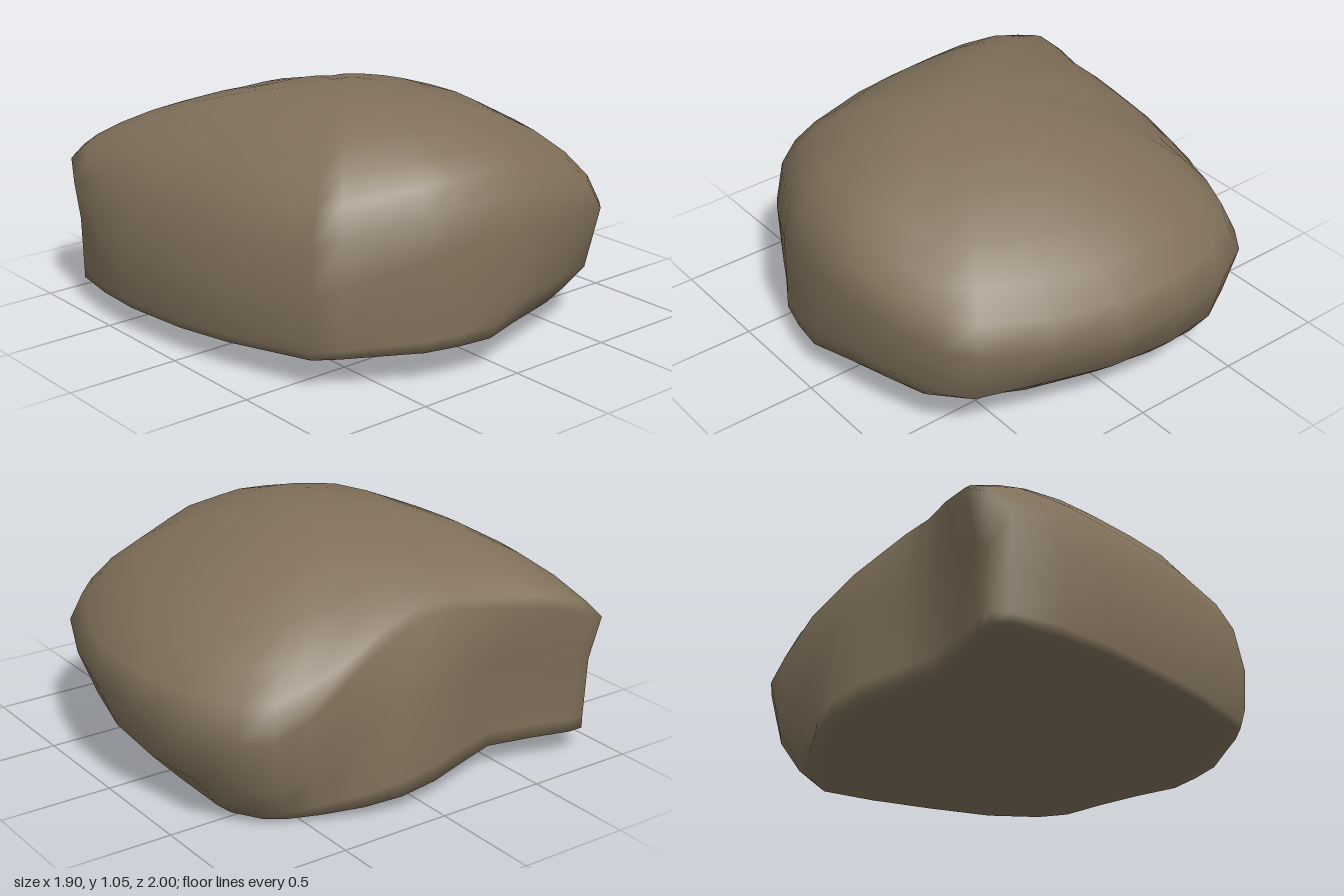
import * as THREE from 'three';
import { mergeVertices } from 'three/addons/utils/BufferGeometryUtils.js';

// Columns around the boulder: foot x, z, then widest point x, y, z
const COLUMNS = [
  [-.22, -.7, -.22, .46, -1], [.08, -.66, .1, .46, -.99], [.38, -.6, .4, .47, -.91],
  [.62, -.52, .69, .5, -.79], [.73, -.44, .8, .52, -.68], [.8, -.28, .89, .56, -.45],
  [.86, -.1, .945, .6, -.23], [.92, .08, .95, .6, -.02], [.9, .23, .91, .58, .2],
  [.86, .38, .87, .55, .35], [.76, .54, .78, .5, .53], [.68, .67, .7, .45, .68],
  [.61, .76, .64, .42, .78], [.22, .88, .23, .4, .91], [-.05, .93, -.05, .4, .96],
  [-.37, .965, -.37, .42, .995], [-.6, .955, -.6, .47, .985], [-.82, .92, -.83, .57, .945],
  [-.87, .87, -.92, .65, .9], [-.87, .8, -.955, .69, .81], [-.82, .62, -.89, .74, .62],
  [-.77, .42, -.83, .76, .43], [-.81, .25, -.79, .79, .24], [-.86, .06, -.77, .79, .08],
  [-.87, -.12, -.79, .74, -.12], [-.83, -.28, -.82, .63, -.36], [-.75, -.44, -.82, .5, -.56],
  [-.67, -.56, -.79, .44, -.7], [-.6, -.63, -.71, .43, -.81], [-.48, -.7, -.5, .44, -.93],
];
const APEX = { x: .1, y: 1.06, z: .15 };
const { lerp: mix, smoothstep } = THREE.MathUtils;

// Gently tilted underside, lowest near the back left
const footHeight = (x, z) =>
  Math.min(.12 + .04 * Math.max(0, x), .09 * Math.abs(x + .5) + .09 * Math.abs(z + .6));

// Points of one column, from the underside centre over the wall to the apex
function columnPoints([bx, bz, mx, my, mz]) {
  const points = [];
  for (const r of [0, .5, .93, 1]) {
    const x = mix(0, bx, r), z = mix(.1, bz, r);
    points.push([x, footHeight(x, z), z]);
  }
  // The hollow side stays upright under its lip, the other walls bulge
  const hollow = mx < -.74 && mz > -.4;
  const bulge = [[.12, .28], [mx > .5 ? .34 : .45, .72]];
  const by = footHeight(bx, bz);
  for (const [up, out] of hollow ? [[.1, .01], [.62, .2]] : bulge) {
    points.push([mix(bx, mx, out), mix(by, my, up), mix(bz, mz, out)]);
  }
  points.push([mx, my, mz]);
  // Rounded dome, flatter above the raised lip and towards the back,
  // with an outline that turns circular near the apex
  const lip = mx < 0 ? smoothstep(my, .5, .69) : 0;
  const power = .5 + .35 * lip + .16 * smoothstep(-mz, 0, .6);
  const dx = mx - APEX.x, dz = mz - APEX.z;
  const toCircle = 1 / Math.hypot(dx, dz);
  for (const r of [.95, .86, .74, .56, .36, .16, 0]) {
    const reach = r * mix(1, toCircle, .45 * (1 - r));
    points.push([APEX.x + dx * reach, mix(my, APEX.y, (1 - r * r) ** power), APEX.z + dz * reach]);
  }
  return points;
}

function boulderGeometry() {
  const columns = COLUMNS.map(columnPoints);
  const rows = columns[0].length, count = columns.length;
  const index = [];
  for (let j = 0; j < count; j++) {
    for (let i = 0; i < rows - 1; i++) {
      const a = j * rows + i, b = ((j + 1) % count) * rows + i;
      if (i > 0) index.push(a, a + 1, b);
      else index.push(a, a + 1, b + 1);
      if (i > 0 && i < rows - 2) index.push(b, a + 1, b + 1);
    }
  }
  const geometry = new THREE.BufferGeometry();
  geometry.setAttribute('position', new THREE.Float32BufferAttribute(columns.flat(2), 3));
  geometry.setIndex(index);
  const merged = mergeVertices(geometry, 1e-4);
  merged.computeVertexNormals();
  return merged;
}

export function createModel() {
  const group = new THREE.Group();
  group.name = 'rock';
  const stone = new THREE.MeshStandardMaterial({ color: 0x80705a });
  stone.name = 'brown stone';
  const boulder = new THREE.Mesh(boulderGeometry(), stone);
  boulder.name = 'boulder';
  group.add(boulder);
  return group;
}
